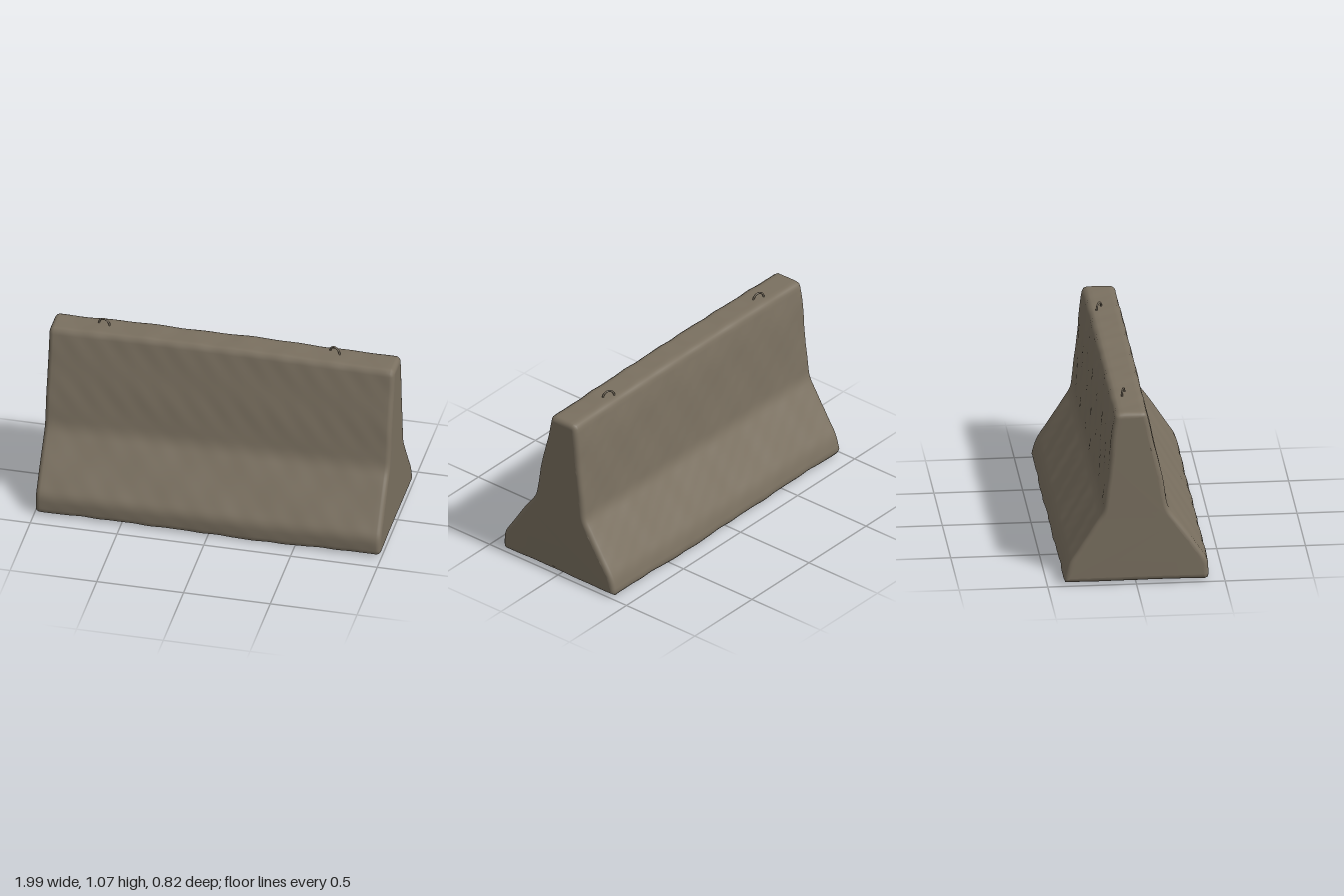
import * as THREE from 'three';

// Cross-section corners: [z, y, rounding], anticlockwise from the front foot
const CORNERS = [
  [0.408, 0.018, 0.02], [0.41, 0.13, 0.035], [0.18, 0.46, 0.04], [0.135, 0.7, 0.06],
  [0.06, 1.038, 0.02], [-0.115, 1.038, 0.025], [-0.14, 0.9, 0.06], [-0.163, 0.65, 0.06],
  [-0.184, 0.44, 0.035], [-0.385, 0.125, 0.04], [-0.41, 0.022, 0.02],
];

// Round every corner, then resample evenly
function sectionPoints(count) {
  const shape = new THREE.Shape();
  const n = CORNERS.length;
  CORNERS.forEach(([z, y, r], i) => {
    const p = new THREE.Vector2(z, y);
    const towards = (k) => {
      const q = new THREE.Vector2(...CORNERS[(i + k + n) % n].slice(0, 2));
      return q.sub(p).setLength(r).add(p);
    };
    const a = towards(-1), b = towards(1);
    if (i === 0) shape.moveTo(a.x, a.y);
    else shape.lineTo(a.x, a.y);
    shape.quadraticCurveTo(p.x, p.y, b.x, b.y);
  });
  shape.closePath();
  return shape.getSpacedPoints(count).slice(0, count);
}

// Gentle cast-concrete unevenness
function wobble(x, y, z) {
  return 0.0022 * Math.sin(9 * x + 5 * y + 1) * Math.cos(11 * y - 6 * z)
    + 0.0016 * Math.sin(23 * x - 13 * y + 8 * z)
    + 0.001 * Math.sin(41 * x + 29 * y + 2) * Math.cos(31 * z + 17 * y);
}

// Loft the section along x, with rounded ends and a slightly bowed top and foot
function barrierGeometry() {
  const count = 140, bevel = 0.028, steps = 5, spans = 80, half = 0.995;
  const points = sectionPoints(count);
  const normals = points.map((p, j) => {
    const t = points[(j + 1) % count].clone().sub(points[(j + count - 1) % count]).normalize();
    return new THREE.Vector2(t.y, -t.x);
  });

  const rings = [];
  for (let s = 0; s < steps; s++) {
    const a = (s / steps) * Math.PI / 2;
    rings.push([-half + bevel * (1 - Math.cos(a)), bevel * (1 - Math.sin(a))]);
  }
  const inner = half - bevel;
  for (let s = 0; s <= spans; s++) rings.push([-inner + 2 * inner * s / spans, 0]);
  for (let s = steps - 1; s >= 0; s--) rings.push([-rings[s][0], rings[s][1]]);

  const pos = [], index = [];
  for (const [x, inset] of rings) {
    points.forEach((p, j) => {
      const d = wobble(x, p.y, p.x) - inset;
      const z = p.x + normals[j].x * d;
      let y = p.y + normals[j].y * d;
      const h = THREE.MathUtils.clamp(p.y, 0, 1);
      y += h * (0.011 * Math.cos(x * Math.PI / 2) - 0.006);
      y -= (1 - h) ** 4 * 0.011 * Math.exp(-(((x - 0.25) / 0.35) ** 2));
      pos.push(x, y, z);
    });
  }
  for (let i = 0; i < rings.length - 1; i++) {
    for (let j = 0; j < count; j++) {
      const a = i * count + j, b = i * count + (j + 1) % count;
      index.push(a, a + count, b, b, a + count, b + count);
    }
  }
  // End faces
  const last = (rings.length - 1) * count;
  const outline = points.map((p, j) => p.clone().addScaledVector(normals[j], -bevel));
  for (const [a, b, c] of THREE.ShapeUtils.triangulateShape(outline, [])) {
    index.push(a, b, c, last + a, last + c, last + b);
  }
  const geometry = new THREE.BufferGeometry();
  geometry.setAttribute('position', new THREE.Float32BufferAttribute(pos, 3));
  geometry.setIndex(index);
  geometry.computeVertexNormals();
  return geometry;
}

// Bent steel bar with both legs sunk in the top
function loopGeometry() {
  const path = new THREE.CatmullRomCurve3([
    [-0.034, -0.03, 0], [-0.034, 0.005, 0], [-0.022, 0.027, 0], [0, 0.035, 0],
    [0.022, 0.027, 0], [0.034, 0.005, 0], [0.034, -0.03, 0],
  ].map((p) => new THREE.Vector3(...p)));
  return new THREE.TubeGeometry(path, 28, 0.0055, 8);
}

export function createModel() {
  const concrete = new THREE.MeshStandardMaterial({ color: 0x7a7060 });
  concrete.name = 'concrete';

  const model = new THREE.Group();
  model.name = 'roadBarrier';

  const body = new THREE.Mesh(barrierGeometry(), concrete);
  body.name = 'barrierBody';
  model.add(body);

  // Lifting loops, turned slightly across the top
  const loop = loopGeometry();
  for (const [name, x, z, turn] of [
    ['rightLiftingLoop', -0.7, -0.047, -0.3],
    ['leftLiftingLoop', 0.627, -0.058, -0.48],
  ]) {
    const mesh = new THREE.Mesh(loop, concrete);
    mesh.name = name;
    mesh.position.set(x, 1.035, z);
    mesh.rotation.y = turn;
    model.add(mesh);
  }
  return model;
}
